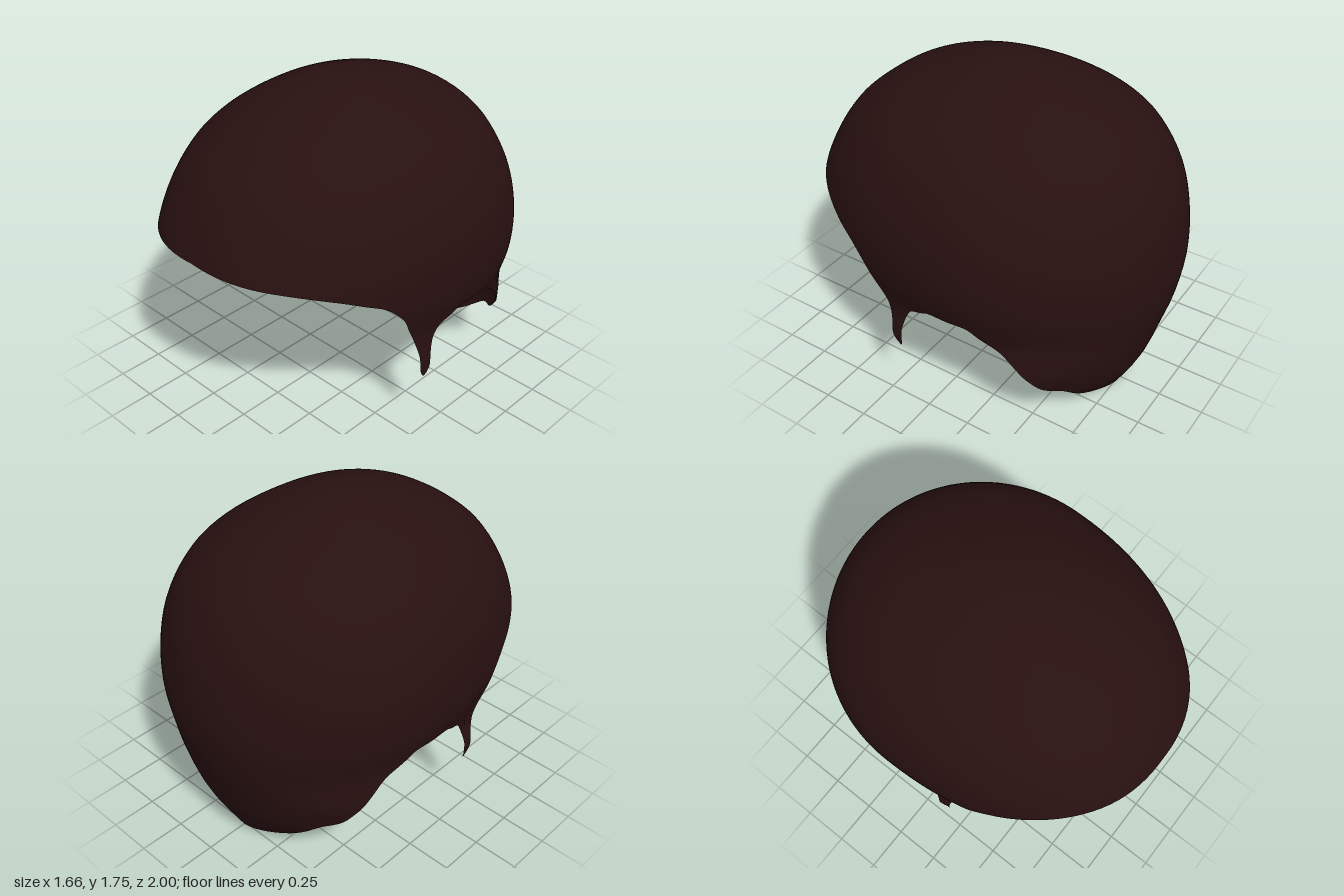
import * as THREE from 'three';
import { mergeVertices } from 'three/addons/utils/BufferGeometryUtils.js';

const TOP = 1.755;

// Horizontal sections: height, half width, front reach, back reach, z of the widest line
const SECTIONS = [
  [1.755, 0, 0, 0, 0],
  [1.7, 0.255, 0.3, 0.33, -0.01],
  [1.6, 0.46, 0.56, 0.6, -0.04],
  [1.5, 0.6, 0.71, 0.75, -0.07],
  [1.4, 0.69, 0.82, 0.84, -0.1],
  [1.2, 0.79, 0.95, 0.94, -0.13],
  [1.0, 0.828, 1.03, 0.985, -0.15],
  [0.8, 0.82, 1.04, 1.0, -0.15],
  [0.6, 0.77, 1.04, 0.975, -0.15],
  [0.4, 0.785, 1.04, 0.92, -0.15],
  [0.2, 0.68, 1.04, 0.86, -0.15],
  [0, 0.42, 1.04, 0.76, -0.15],
];

// Hairline on the +x side, from the middle of the brow to the nape
const HEM = [
  [0, 1.085, 1.0], [0.25, 1.07, 0.96], [0.5, 1.045, 0.83], [0.65, 1.0, 0.69],
  [0.71, 0.95, 0.56], [0.74, 0.9, 0.45], [0.76, 0.8, 0.35], [0.76, 0.7, 0.3],
  // sideburn
  [0.76, 0.6, 0.25], [0.76, 0.5, 0.212], [0.755, 0.39, 0.195], [0.755, 0.35, 0.165],
  [0.755, 0.39, 0.143], [0.76, 0.5, 0.133], [0.765, 0.58, 0.11],
  // over the ear
  [0.77, 0.635, 0.07], [0.78, 0.665, 0], [0.79, 0.692, -0.05], [0.79, 0.697, -0.16],
  [0.78, 0.695, -0.28], [0.765, 0.645, -0.34], [0.73, 0.575, -0.44], [0.7, 0.5, -0.5],
  // nape
  [0.64, 0.39, -0.56], [0.59, 0.31, -0.61], [0.5, 0.27, -0.67], [0.42, 0.2, -0.695],
  [0.3, 0.1, -0.71], [0.2, 0.06, -0.75], [0.1, 0.03, -0.755], [0, 0, -0.76],
];

// Depth below the crown, stretched so the dome starts out round
const depth = (y) => Math.sqrt(Math.max(0, TOP - y));
const KNOTS = SECTIONS.map((s) => depth(s[0]));

// Smooth interpolation of the section table
function section(u) {
  const n = KNOTS.length;
  let i = 0;
  while (i < n - 2 && u > KNOTS[i + 1]) i++;
  const h = KNOTS[i + 1] - KNOTS[i];
  const t = Math.min(1, Math.max(0, (u - KNOTS[i]) / h));
  const slope = (k, col) => {
    const a = Math.max(0, k - 1), b = Math.min(n - 1, k + 1);
    return (SECTIONS[b][col] - SECTIONS[a][col]) / (KNOTS[b] - KNOTS[a]);
  };
  const value = (col) => {
    const p = SECTIONS[i][col], q = SECTIONS[i + 1][col];
    const t2 = t * t, t3 = t2 * t;
    return p * (2 * t3 - 3 * t2 + 1) + q * (3 * t2 - 2 * t3)
      + h * slope(i, col) * (t3 - 2 * t2 + t) + h * slope(i + 1, col) * (t3 - t2);
  };
  return { width: value(1), front: value(2), back: value(3), mid: value(4) };
}

// Direction of a hem point on its rounded section, kept along a whole column
function direction(p) {
  const s = section(depth(p.y));
  const dz = p.z - s.mid;
  const X = p.x / s.width;
  const Z = dz / (dz > 0 ? s.front - s.mid : s.back + s.mid);
  const e = dz > 0 ? 2.2 : 2;
  const n = Math.pow(Math.abs(X) ** e + Math.abs(Z) ** e, 1 / e);
  return [X / n, Z / n];
}

function hairGeometry() {
  const curve = new THREE.CatmullRomCurve3(HEM.map((p) => new THREE.Vector3(...p)), false, 'centripetal');
  const half = curve.getPoints((HEM.length - 1) * 6).map((p) => ({ y: p.y, dir: direction(p) }));
  half[0].dir = [0, 1];
  half[half.length - 1].dir = [0, -1];
  // Mirror the inner columns to close the loop
  const other = half.slice(1, -1).reverse().map((c) => ({ y: c.y, dir: [-c.dir[0], c.dir[1]] }));
  const columns = [...half, ...other];

  const rows = 48, positions = [], index = [];
  columns.forEach(({ y, dir: [X, Z] }, i) => {
    for (let j = 0; j <= rows; j++) {
      const u = depth(y) * j / rows;
      const s = section(u);
      const reach = Z > 0 ? s.front - s.mid : s.back + s.mid;
      positions.push(s.width * X, TOP - u * u, s.mid + reach * Z);
      if (j === rows) continue;
      const a = i * (rows + 1) + j;
      const b = ((i + 1) % columns.length) * (rows + 1) + j;
      index.push(a, a + 1, b + 1);
      if (j > 0) index.push(a, b + 1, b);
    }
  });
  let geometry = new THREE.BufferGeometry();
  geometry.setAttribute('position', new THREE.Float32BufferAttribute(positions, 3));
  geometry.setIndex(index);
  geometry = mergeVertices(geometry, 1e-5);
  geometry.computeVertexNormals();
  return geometry;
}

export function createModel() {
  const darkBrown = new THREE.MeshStandardMaterial({ color: 0x281010, side: THREE.DoubleSide });
  darkBrown.name = 'darkBrown';
  const hair = new THREE.Mesh(hairGeometry(), darkBrown);
  hair.name = 'hairCap';
  const group = new THREE.Group();
  group.name = 'shortHair';
  group.add(hair);
  return group;
}
